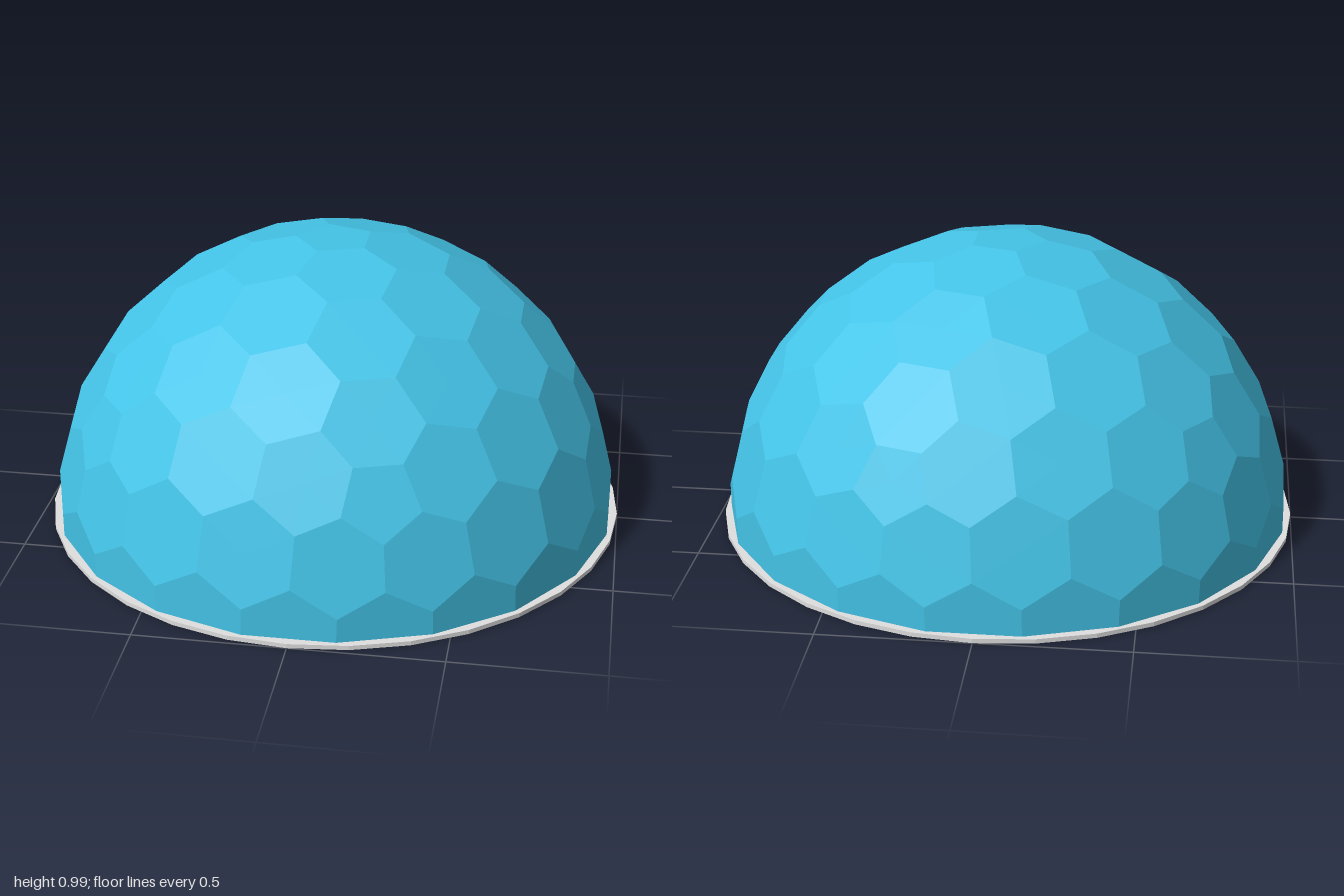
import * as THREE from 'three';
import { mergeVertices } from 'three/addons/utils/BufferGeometryUtils.js';

const BASE_HEIGHT = 0.015;
const DOME_RADIUS = 0.985;

// Upper half of the dual of a subdivided icosahedron: hexagons with a few pentagons
function hexDomeGeometry(radius, detail) {
  let ico = new THREE.IcosahedronGeometry(1, detail);
  ico.deleteAttribute('uv');
  ico.deleteAttribute('normal');
  ico.rotateZ(-Math.atan(2 / (1 + Math.sqrt(5)))); // put a pentagon at the top
  ico = mergeVertices(ico, 1e-3);
  const pos = ico.attributes.position;
  const at = (i) => new THREE.Vector3().fromBufferAttribute(pos, i);

  // Triangle centres become the corners of the cells around each vertex
  const cells = Array.from({ length: pos.count }, () => []);
  for (let i = 0; i < ico.index.count; i += 3) {
    const ids = [0, 1, 2].map((k) => ico.index.getX(i + k));
    const corner = new THREE.Vector3();
    ids.forEach((id) => corner.add(at(id)));
    corner.setLength(radius);
    ids.forEach((id) => cells[id].push(corner));
  }

  const positions = [];
  const normals = [];
  cells.forEach((corners, id) => {
    const n = at(id).normalize();
    const u = corners[0].clone().projectOnPlane(n).normalize();
    const v = n.clone().cross(u);
    const angle = (p) => Math.atan2(p.dot(v), p.dot(u));
    const ring = [...corners].sort((a, b) => angle(a) - angle(b));

    // Keep the part of the cell above the base
    const kept = [];
    ring.forEach((a, k) => {
      const b = ring[(k + 1) % ring.length];
      if (a.y >= 0) kept.push(a);
      if ((a.y >= 0) !== (b.y >= 0)) kept.push(a.clone().lerp(b, a.y / (a.y - b.y)));
    });
    if (kept.length < 3) return;

    // One flat normal per cell
    const centre = new THREE.Vector3();
    kept.forEach((p) => centre.addScaledVector(p, 1 / kept.length));
    const normal = new THREE.Vector3();
    kept.forEach((a, k) => {
      const b = kept[(k + 1) % kept.length];
      normal.add(a.clone().sub(centre).cross(b.clone().sub(centre)));
    });
    normal.normalize();
    kept.forEach((a, k) => {
      const b = kept[(k + 1) % kept.length];
      [centre, a, b].forEach((p) => {
        positions.push(p.x, p.y, p.z);
        normals.push(normal.x, normal.y, normal.z);
      });
    });
  });

  const geometry = new THREE.BufferGeometry();
  geometry.setAttribute('position', new THREE.Float32BufferAttribute(positions, 3));
  geometry.setAttribute('normal', new THREE.Float32BufferAttribute(normals, 3));
  return geometry;
}

export function createModel() {
  const model = new THREE.Group();
  model.name = 'hexagonDome';

  const blue = new THREE.MeshStandardMaterial({ color: 0x44c4e8 });
  blue.name = 'sky blue';
  const grey = new THREE.MeshStandardMaterial({ color: 0xe0e0e0, flatShading: true });
  grey.name = 'light grey';

  // Thin round floor plate
  const base = new THREE.Mesh(new THREE.CylinderGeometry(1, 1, BASE_HEIGHT, 32), grey);
  base.name = 'base';
  base.position.y = BASE_HEIGHT / 2;

  // Faceted shell standing on the plate
  const dome = new THREE.Mesh(hexDomeGeometry(DOME_RADIUS, 3), blue);
  dome.name = 'dome';
  dome.position.y = BASE_HEIGHT;

  model.add(base, dome);
  return model;
}
